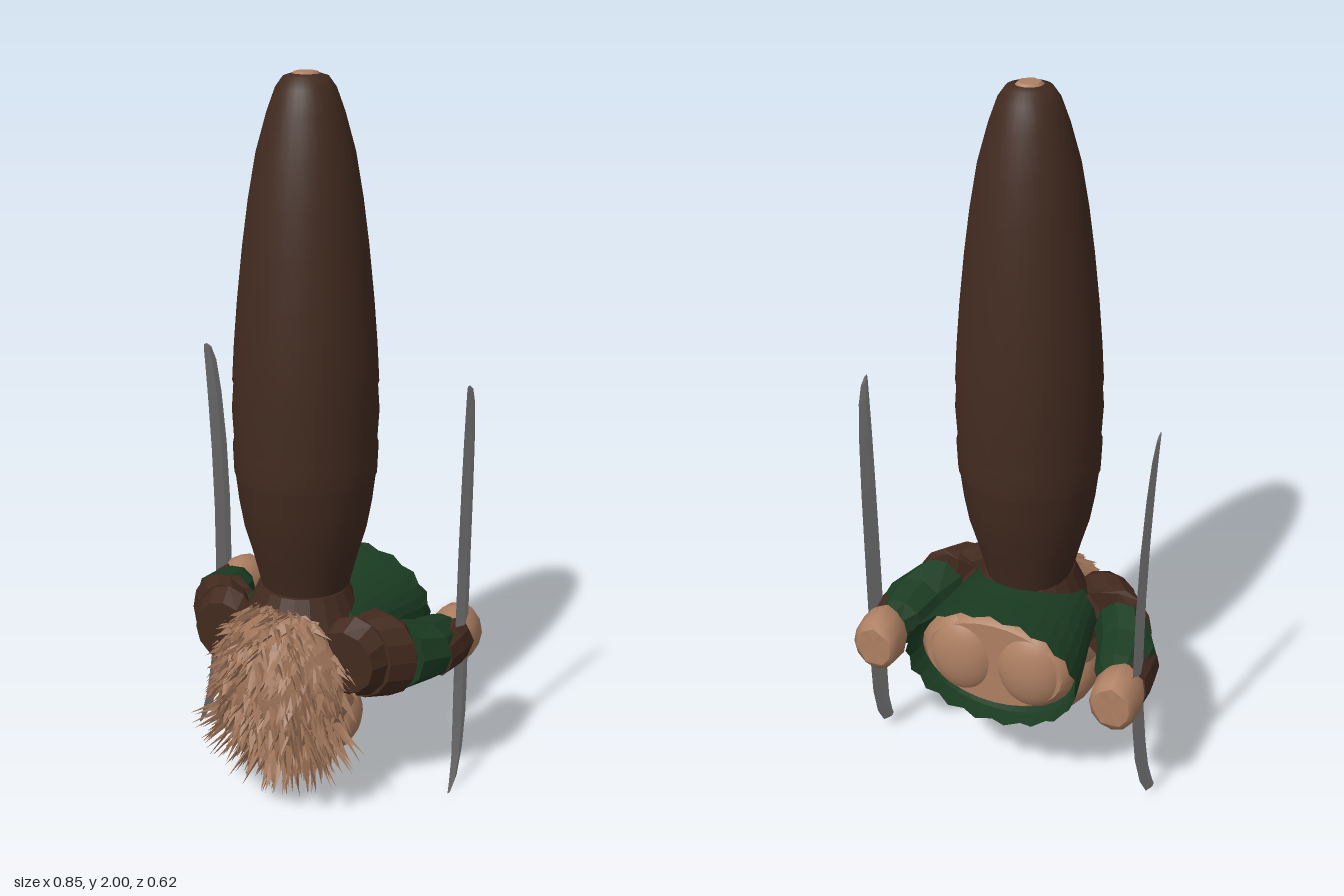
import * as THREE from 'three';
import { mergeGeometries } from 'three/addons/utils/BufferGeometryUtils.js';

const mat = (name, color, opts = {}) => {
  const m = new THREE.MeshStandardMaterial({ color, ...opts });
  m.name = name;
  return m;
};

// Seeded random numbers
function seeded(seed) {
  return () => {
    seed = (seed * 16807) % 2147483647;
    return seed / 2147483647;
  };
}

// Joins rings of Vector3 into one skin; winding is corrected by signed volume
function loft(rings, capStart = true, capEnd = true) {
  const n = rings[0].length;
  const pts = rings.flat();
  const idx = [];
  for (let r = 0; r < rings.length - 1; r++) {
    for (let i = 0; i < n; i++) {
      const a = r * n + i, b = r * n + (i + 1) % n;
      idx.push(a, b, a + n, b, b + n, a + n);
    }
  }
  const cap = (ring, start, flip) => {
    const c = ring.reduce((s, p) => s.add(p), new THREE.Vector3()).divideScalar(n);
    const base = pts.length;
    pts.push(c, ...ring);
    for (let i = 0; i < n; i++) {
      const a = base + 1 + i, b = base + 1 + (i + 1) % n;
      if (flip) idx.push(base, b, a); else idx.push(base, a, b);
    }
  };
  if (capStart) cap(rings[0], 0, true);
  if (capEnd) cap(rings[rings.length - 1], 0, false);
  const mid = pts.reduce((s, p) => s.add(p), new THREE.Vector3()).divideScalar(pts.length);
  let volume = 0;
  for (let i = 0; i < idx.length; i += 3) {
    const [a, b, c] = [0, 1, 2].map((k) => pts[idx[i + k]].clone().sub(mid));
    volume += a.dot(b.cross(c));
  }
  if (volume < 0) idx.reverse();
  const g = new THREE.BufferGeometry().setFromPoints(pts);
  g.setIndex(idx);
  g.computeVertexNormals();
  return g;
}

// Elliptical rings facing z: each row is [x, y, z, rx, ry]
const ovalRings = (rows, sides, side = 1, ragged = 0) => rows.map(([x, y, z, rx, ry], r) =>
  Array.from({ length: sides }, (_, i) => {
    const a = (i / sides) * Math.PI * 2;
    const tooth = r === 0 && i % 2 ? ragged : 0;
    return new THREE.Vector3(side * (x + rx * Math.cos(a)), y + ry * Math.sin(a), z + tooth);
  }));

export function createModel() {
  const model = new THREE.Group();
  const bark = mat('dark brown', 0x422b20, { side: THREE.DoubleSide });
  const green = mat('dark green', 0x1b3c22, { side: THREE.DoubleSide, flatShading: true });
  const leather = mat('leather brown', 0x432a1f, { side: THREE.DoubleSide, flatShading: true });
  const skin = mat('tan skin', 0xae8062);
  const fur = mat('fur tan', 0x9c7257, { side: THREE.DoubleSide, flatShading: true });
  const steel = mat('steel grey', 0x8c8c8c, { flatShading: true });

  const add = (name, geometry, material, parent = model) => {
    const mesh = new THREE.Mesh(geometry, material);
    mesh.name = name;
    parent.add(mesh);
    return mesh;
  };
  const ball = (name, p, r, material) => {
    const mesh = add(name, new THREE.SphereGeometry(1, 28, 20), material);
    mesh.position.set(...p);
    mesh.scale.set(...r);
    return mesh;
  };

  // Tall tapering hood with faint bands
  const profile = [[0.11, 0.56], [0.125, 0.62], [0.145, 0.7], [0.168, 0.78], [0.182, 0.86],
    [0.19, 0.93], [0.194, 0.94], [0.197, 1.02], [0.193, 1.03], [0.198, 1.12], [0.193, 1.19],
    [0.196, 1.2], [0.19, 1.3], [0.18, 1.42], [0.165, 1.56], [0.149, 1.68], [0.128, 1.8],
    [0.1, 1.9], [0.078, 1.96], [0.058, 1.988], [0.036, 1.995]];
  add('hood', new THREE.LatheGeometry(profile.map((p) => new THREE.Vector2(...p)), 32), bark);
  const tip = add('hoodTip', new THREE.CylinderGeometry(0.03, 0.038, 0.008, 6), skin);
  tip.position.y = 1.996;

  // Head and its lower bulge
  ball('head', [0, 0.36, 0.08], [0.19, 0.22, 0.17], skin);
  ball('lowerHead', [0, 0.235, 0.05], [0.19, 0.14, 0.175], skin);

  // Fur shell over the front, then overlapping downward spikes
  const centre = new THREE.Vector3(0, 0.35, 0.08);
  const radii = new THREE.Vector3(0.205, 0.24, 0.195);
  const shell = new THREE.SphereGeometry(1, 26, 9, 0, Math.PI * 2, 0, 1.35);
  shell.rotateX(Math.PI / 2);
  shell.scale(radii.x, radii.y, radii.z).translate(centre.x, centre.y, centre.z);
  add('furShell', shell, fur);

  const rand = seeded(71);
  const spikes = [];
  const up = new THREE.Vector3(0, 1, 0);
  const spike = (dir, length, width, lift, droop) => {
    const base = dir.clone().multiply(radii).add(centre);
    const aim = dir.clone().multiplyScalar(lift).add(new THREE.Vector3((rand() - 0.5) * 0.6, -droop, (rand() - 0.5) * 0.4)).normalize();
    const g = new THREE.ConeGeometry(width, length, 3, 1, true);
    g.translate(0, length * 0.4, 0);
    g.scale(1, 1, 0.5);
    g.applyQuaternion(new THREE.Quaternion().setFromUnitVectors(up, aim));
    g.translate(base.x, base.y, base.z);
    spikes.push(g);
  };
  for (let i = 0; i < 620; i++) {
    const z = 0.2 + 0.8 * rand(), a = rand() * Math.PI * 2, s = Math.sqrt(1 - z * z);
    const dir = new THREE.Vector3(s * Math.cos(a), s * Math.sin(a), z);
    spike(dir, 0.045 + 0.03 * rand(), 0.014, 0.5, 0.55);
  }
  // Longer tufts around the lower rim
  for (let i = 0; i < 130; i++) {
    const a = -Math.PI * (0.13 + 0.74 * rand()), z = 0.2 + 0.55 * rand(), s = Math.sqrt(1 - z * z);
    const dir = new THREE.Vector3(s * Math.cos(a), s * Math.sin(a), z);
    spike(dir, 0.08 + 0.05 * rand(), 0.016, 1, 0.15);
  }
  add('furSpikes', mergeGeometries(spikes), fur);

  // Flared tunic, open at the back with a ragged hem
  add('tunic', loft(ovalRings([[0, 0.445, -0.3, 0.25, 0.175], [0, 0.445, -0.24, 0.243, 0.172],
    [0, 0.455, -0.17, 0.232, 0.155], [0, 0.465, -0.08, 0.215, 0.14],
    [0, 0.47, 0.02, 0.2, 0.125], [0, 0.46, 0.1, 0.16, 0.1]], 36, 1, 0.018), false, true), green);
  add('hips', loft(ovalRings([[0, 0.445, -0.265, 0.2, 0.13], [0, 0.445, -0.24, 0.225, 0.15],
    [0, 0.45, -0.15, 0.215, 0.14]], 28)), skin);

  // Collar under the hood
  const collar = add('collar', new THREE.CylinderGeometry(0.125, 0.17, 0.1, 20), leather);
  collar.position.set(0, 0.56, 0.01);

  // Blade stations: [y, front z, back z]
  const blade = [[0.005, -0.078, -0.1], [0.03, -0.09, -0.145], [0.1, -0.115, -0.19],
    [0.2, -0.13, -0.222], [0.32, -0.142, -0.237], [0.5, -0.152, -0.24], [0.7, -0.152, -0.238],
    [0.88, -0.148, -0.23], [1.04, -0.142, -0.215], [1.14, -0.138, -0.197], [1.185, -0.136, -0.175],
    [1.2, -0.137, -0.152]];

  for (const side of [1, -1]) {
    const arm = new THREE.Group();
    arm.name = side > 0 ? 'leftArm' : 'rightArm';
    model.add(arm);
    const hip = ball('thighEnd', [side * 0.1, 0.445, -0.225], [0.105, 0.13, 0.07], skin);
    hip.name = side > 0 ? 'leftThighEnd' : 'rightThighEnd';

    const limb = (name, rows, sides, material, ragged = 0) =>
      add(name, loft(ovalRings(rows, sides, side, ragged)), material, arm);
    // Layered shoulder guard
    limb('shoulderGuardFront', [[0.19, 0.46, 0.135, 0.09, 0.09], [0.2, 0.46, 0.085, 0.1, 0.12]], 12, leather);
    limb('shoulderGuardBack', [[0.24, 0.46, -0.005, 0.105, 0.115], [0.255, 0.455, 0.025, 0.105, 0.125],
      [0.21, 0.46, 0.085, 0.1, 0.12]], 14, leather, 0.015);
    // Sleeve, cuff and fist
    limb('sleeve', [[0.345, 0.435, -0.215, 0.05, 0.06], [0.335, 0.435, -0.17, 0.075, 0.075],
      [0.325, 0.44, -0.08, 0.09, 0.09], [0.285, 0.45, 0, 0.085, 0.105]], 10, green);
    limb('cuff', [[0.365, 0.43, -0.215, 0.058, 0.07], [0.37, 0.43, -0.15, 0.055, 0.07],
      [0.375, 0.43, -0.08, 0.042, 0.06]], 10, leather, 0.015);
    limb('fist', [[0.352, 0.425, -0.3, 0.052, 0.06], [0.352, 0.425, -0.285, 0.066, 0.08],
      [0.352, 0.425, -0.23, 0.07, 0.09], [0.355, 0.43, -0.19, 0.06, 0.07]], 12, skin, 0.008);
    // Long thin blade, bowed outward at both ends
    const rings = blade.map(([y, zf, zb]) => {
      const d = y - 0.55;
      const x = side * (0.392 + (d < 0 ? 0.085 : 0.04) * d * d);
      const m = (zf + zb) / 2, t = 0.008 * Math.min(1, (zf - zb) / 0.08);
      return [[x, zf], [x + t, m], [x, zb], [x - t, m]].map(([px, pz]) => new THREE.Vector3(px, y, pz));
    });
    add('blade', loft(rings), steel, arm);
  }
  return model;
}
